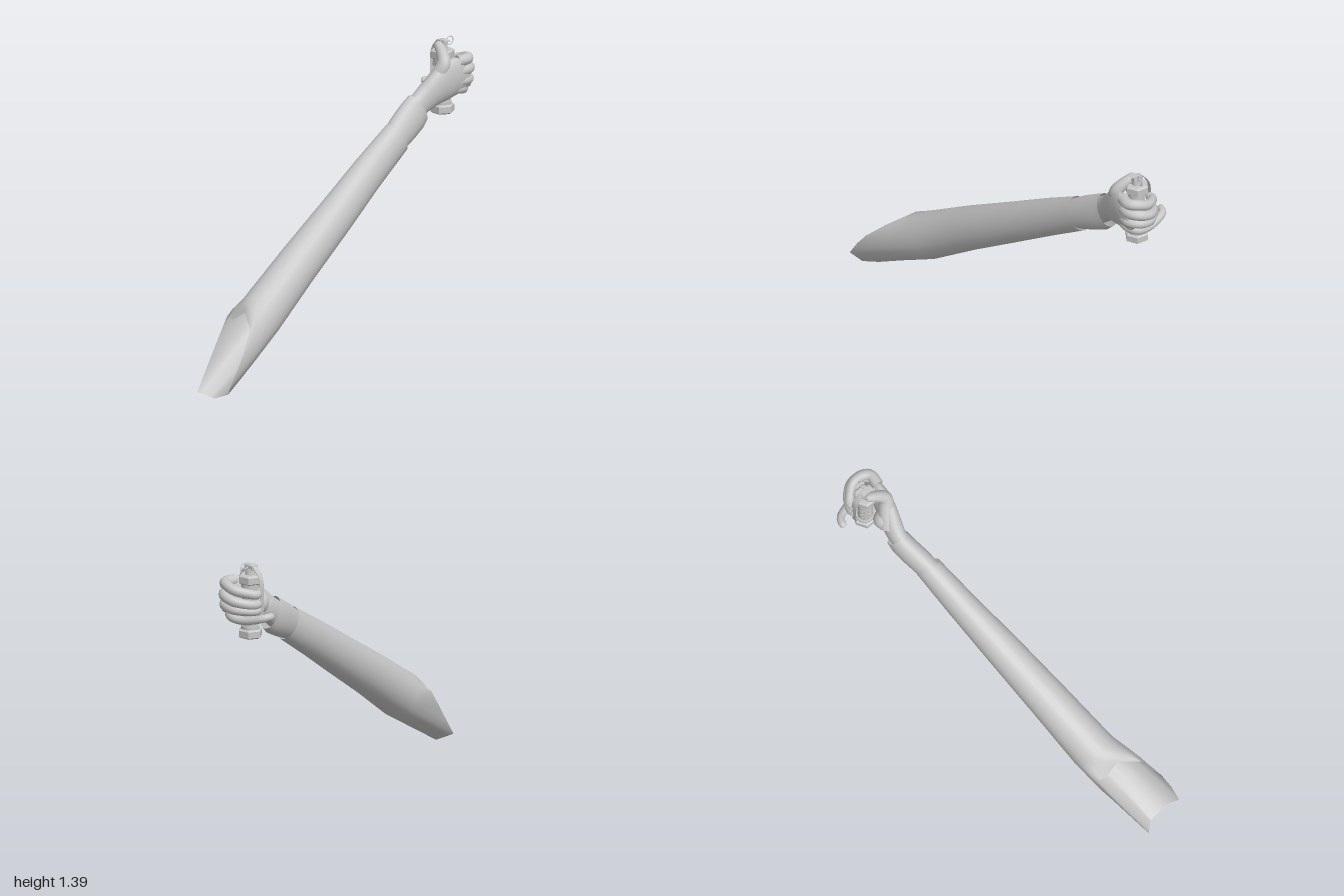
import * as THREE from 'three';

const skin = new THREE.MeshStandardMaterial({ color: 0xc6c6c6, side: THREE.DoubleSide });
skin.name = 'plain grey';
const V = (x, y, z) => new THREE.Vector3(x, y, z);
const up = V(0, 0.85, 0.52); // upper side of the forearm

function add(group, name, geometry, x = 0, y = 0, z = 0) {
  const mesh = new THREE.Mesh(geometry, skin);
  mesh.name = name;
  mesh.position.set(x, y, z);
  group.add(mesh);
  return mesh;
}

// Smooth skin through closed rings that all have the same point count
function loft(rings) {
  const n = rings[0].length, index = [];
  for (let i = 0; i < rings.length - 1; i++) {
    for (let j = 0; j < n; j++) {
      const a = i * n + j, b = i * n + (j + 1) % n;
      index.push(a, b, a + n, b, b + n, a + n);
    }
  }
  const g = new THREE.BufferGeometry().setFromPoints(rings.flat());
  g.setIndex(index);
  g.computeVertexNormals();
  return g;
}

function ring(c, u, v, ru, rv, n = 24) {
  return Array.from({ length: n }, (_, j) => {
    const t = (j / n) * Math.PI * 2;
    return c.clone().addScaledVector(u, ru * Math.cos(t)).addScaledVector(v, rv * Math.sin(t));
  });
}

// Section across the arm: centre, half width, half height
const armRing = ([x, y, z, rx, rp]) => ring(V(x, y, z), V(1, 0, 0), up, rx, rp);

// Tapered round limb with a rounded tip
function limb(points, r0, r1) {
  const curve = new THREE.CatmullRomCurve3(points.map(p => V(...p)));
  const m = 28, frames = curve.computeFrenetFrames(m), length = curve.getLength();
  const rings = [];
  for (let i = 0; i <= m; i++) {
    const s = i / m;
    const r = r0 + (r1 - r0) * s;
    const e = Math.max(0, 1 - ((1 - s) * length) / r1);
    const rr = r * Math.sqrt(Math.max(0.0004, 1 - e * e));
    rings.push(ring(curve.getPointAt(s), frames.normals[i], frames.binormals[i], rr, rr, 12));
  }
  return loft(rings);
}

function sleeve() {
  const rings = [
    [-0.065, 0.98, -0.47, 0.063, 0.086],
    [-0.035, 0.85, -0.25, 0.074, 0.093],
    [0.005, 0.697, 0, 0.088, 0.1],
    [0.05, 0.515, 0.3, 0.1, 0.109],
    [0.092, 0.335, 0.58, 0.111, 0.118],
  ].map(armRing);
  // Ragged open end, running round from the left side over the top
  const edge = [
    [0.295, 0.17, 0.925], [0.28, 0.24, 0.87], [0.23, 0.33, 0.78], [0.13, 0.38, 0.72],
    [0.05, 0.33, 0.73], [0, 0.33, 0.72], [0.03, 0.22, 0.82], [0.09, 0.03, 1],
    [0.12, 0.015, 0.97], [0.155, 0, 0.945], [0.25, 0.04, 0.945], [0.3, 0.09, 0.98],
  ].map(p => V(...p));
  const end = edge.flatMap((p, i) => [p, p.clone().lerp(edge[(i + 1) % 12], 0.5)]);
  const last = rings[rings.length - 1];
  // A bulged ring midway keeps the open part rounded
  const mid = end.map((p, j) => p.clone().lerp(last[j], 0.5)
    .addScaledVector(V(Math.cos(j * Math.PI / 12), 0, 0), 0.008)
    .addScaledVector(up, 0.012 * Math.max(0, Math.sin(j * Math.PI / 12))));
  return loft([...rings, mid, end]);
}

function canister() {
  const g = new THREE.Group();
  g.name = 'canister';
  g.position.set(-0.142, 0, -0.847);
  // Hexagonal caps with bevelled rims
  const cap = (h) => new THREE.LatheGeometry([
    [0, 0], [0.05, 0], [0.06, 0.007], [0.06, h - 0.007], [0.05, h], [0, h],
  ].map(p => new THREE.Vector2(...p)), 6).toNonIndexed();
  for (const [name, y, h] of [['bottomCap', 1.015, 0.045], ['topCap', 1.287, 0.046]]) {
    const c = cap(h);
    c.computeVertexNormals();
    add(g, name, c, 0, y, 0).rotation.y = Math.PI / 6;
  }
  add(g, 'body', new THREE.CylinderGeometry(0.038, 0.038, 0.24, 24), 0, 1.172, 0);
  for (const y of [1.068, 1.279]) {
    add(g, 'collar', new THREE.CylinderGeometry(0.045, 0.045, 0.016, 24), 0, y, 0);
  }
  // Round vents in rows
  for (let row = 0; row < 4; row++) {
    for (let k = 0; k < 6; k++) {
      const a = (k / 6) * Math.PI * 2;
      const vent = add(g, 'ventRim', new THREE.TorusGeometry(0.011, 0.002, 6, 14),
        0.038 * Math.sin(a), 1.1 + row * 0.048, 0.038 * Math.cos(a));
      vent.rotation.y = a;
    }
  }
  // Fuze head, pin, pull ring and curved safety lever
  add(g, 'fuzeNeck', new THREE.CylinderGeometry(0.022, 0.026, 0.03, 16), 0, 1.346, 0);
  add(g, 'fuzeHead', new THREE.BoxGeometry(0.05, 0.024, 0.03), 0, 1.366, 0);
  add(g, 'pin', new THREE.CylinderGeometry(0.004, 0.004, 0.06, 8), 0.005, 1.366, -0.012).rotation.x = Math.PI / 2;
  add(g, 'pullRing', new THREE.TorusGeometry(0.021, 0.002, 6, 28), 0.01, 1.37, -0.04).rotation.y = Math.PI / 2;
  const path = new THREE.CatmullRomCurve3([
    [0.035, 1.381], [-0.015, 1.381], [-0.045, 1.355], [-0.066, 1.32], [-0.073, 1.27], [-0.072, 1.17], [-0.068, 1.1],
  ].map(([x, y]) => V(x, y, 0)));
  const strip = path.getPoints(30).map(p => [
    p.clone().add(V(0, 0, 0.014)), p.clone().add(V(0, 0, -0.014)),
    p.clone().add(V(0.003, -0.002, -0.014)), p.clone().add(V(0.003, -0.002, 0.014)),
  ]);
  add(g, 'safetyLever', loft(strip));
  return g;
}

export function createModel() {
  const model = new THREE.Group();
  model.name = 'armHoldingCanister';

  add(model, 'sleeve', sleeve());

  // Glove cuff tucked into the sleeve
  add(model, 'gloveCuff', loft([
    [-0.105, 1.083, -0.648, 0.053, 0.084],
    [-0.1, 1.055, -0.61, 0.057, 0.09],
    [-0.085, 1.018, -0.54, 0.059, 0.087],
    [-0.066, 0.97, -0.45, 0.056, 0.077],
  ].map(armRing)));

  // Palm and back of the hand
  const hand = new THREE.Group();
  hand.name = 'hand';
  model.add(hand);
  add(hand, 'palm', loft([
    [-0.052, 1.235, -0.925, 0.004, 0.012],
    [-0.052, 1.235, -0.918, 0.022, 0.07],
    [-0.053, 1.228, -0.895, 0.032, 0.094],
    [-0.058, 1.212, -0.84, 0.038, 0.1],
    [-0.072, 1.18, -0.775, 0.046, 0.09],
    [-0.092, 1.14, -0.71, 0.05, 0.072],
    [-0.102, 1.105, -0.66, 0.044, 0.063],
    [-0.1, 1.06, -0.6, 0.042, 0.066],
  ].map(armRing)));

  // Thumb crossing the front to the top of the canister
  add(hand, 'thumb', limb([
    [-0.11, 1.14, -0.71], [-0.085, 1.22, -0.755], [-0.066, 1.285, -0.785],
    [-0.1, 1.33, -0.805], [-0.158, 1.368, -0.825],
  ], 0.05, 0.021));
  add(hand, 'thumbBase', new THREE.SphereGeometry(0.05, 20, 14), -0.11, 1.16, -0.745).scale.set(1.05, 1.15, 1);

  // Fingers wrapping round the far side
  const wrap = (y, back, drop) => [
    [-0.05, y, -0.86], [-0.045, y + 0.002, -0.92], [-0.075, y, back + 0.005], [-0.13, y - drop * 0.4, back],
    [-0.185, y - drop * 0.8, back + 0.04], [-0.206, y - drop, -0.885], [-0.198, y - drop, -0.845],
  ];
  add(hand, 'indexFinger', limb(wrap(1.287, -0.952, 0.04), 0.029, 0.021));
  add(hand, 'middleFinger', limb(wrap(1.235, -0.966, 0.038), 0.029, 0.021));
  add(hand, 'ringFinger', limb(wrap(1.184, -0.96, 0.02), 0.027, 0.02));
  add(hand, 'littleFinger', limb([
    [-0.06, 1.15, -0.84], [-0.055, 1.143, -0.89], [-0.09, 1.128, -0.93], [-0.15, 1.118, -0.925],
    [-0.215, 1.128, -0.91], [-0.265, 1.142, -0.885], [-0.281, 1.145, -0.835],
  ], 0.026, 0.018));

  model.add(canister());
  return model;
}
